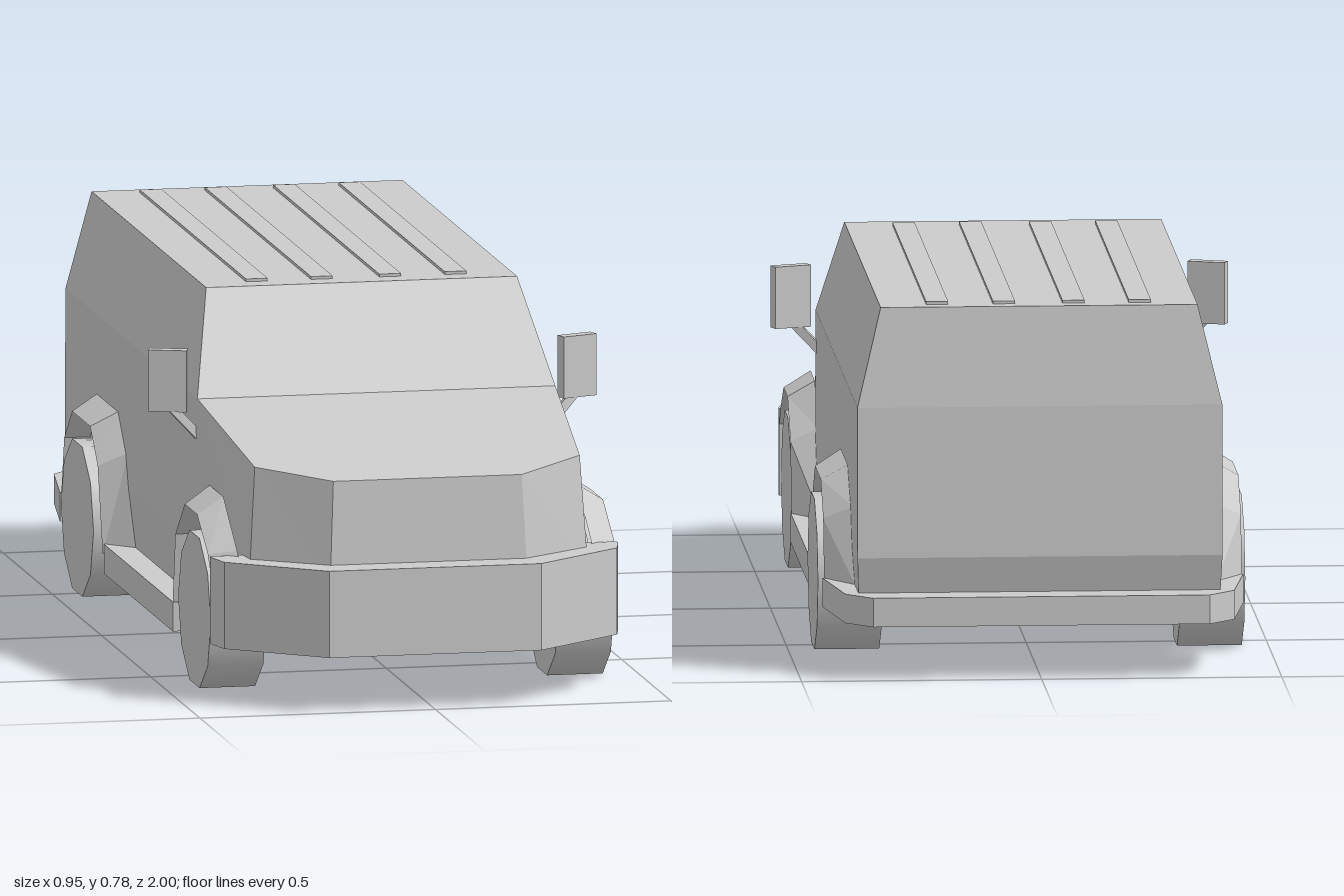
import * as THREE from 'three';

const flat = new THREE.MeshStandardMaterial({ color: 0xcccccc, flatShading: true, side: THREE.DoubleSide });
const smooth = new THREE.MeshStandardMaterial({ color: 0xcccccc });

// Mirrors a left half outline [x, y, z] (front to rear) into a closed ring
const mirrorRing = half => [...half, ...[...half].reverse().map(([x, y, z]) => [-x, y, z])];

// Skins a stack of equal-length rings; optionally closes the ring and caps the ends
function loft(rings, { closed = true, capStart = false, capEnd = false } = {}) {
  const pos = [];
  const tri = (a, b, c) => pos.push(...a, ...b, ...c);
  for (let i = 0; i + 1 < rings.length; i++) {
    const p = rings[i], q = rings[i + 1], n = p.length;
    for (let j = 0; j < (closed ? n : n - 1); j++) {
      const k = (j + 1) % n;
      tri(p[j], q[j], p[k]);
      tri(p[k], q[j], q[k]);
    }
  }
  const cap = (r, flip) => {
    for (let j = 1; j + 1 < r.length; j++) flip ? tri(r[0], r[j + 1], r[j]) : tri(r[0], r[j], r[j + 1]);
  };
  if (capStart) cap(rings[0], true);
  if (capEnd) cap(rings[rings.length - 1], false);
  const g = new THREE.BufferGeometry();
  g.setAttribute('position', new THREE.Float32BufferAttribute(pos, 3));
  g.computeVertexNormals();
  return g;
}

// Slab from a half plan outline [x, z], between two heights
function slab(half, y0, y1) {
  const pts = [...half, ...[...half].reverse().map(([x, z]) => [-x, z])];
  const shape = new THREE.Shape(pts.map(([x, z]) => new THREE.Vector2(x, z)));
  const g = new THREE.ExtrudeGeometry(shape, { depth: y1 - y0, bevelEnabled: false });
  g.rotateX(Math.PI / 2);
  g.translate(0, y1, 0);
  return g;
}

// Wheel arch flare: slopes from the body out to the lip, then turns back inside
function flare(outer, inner, side, lipX) {
  const ring = (pts, x) => pts.map(([z, y]) => [side * x, y, z]);
  return loft([ring(outer, 0.375), ring(inner, lipX), ring(inner, 0.375)], { closed: false });
}

export function createModel() {
  const model = new THREE.Group();
  const add = (name, geometry, material = flat) => {
    const mesh = new THREE.Mesh(geometry, material);
    mesh.name = name;
    model.add(mesh);
    return mesh;
  };
  const box = (w, h, d, x, y, z) => new THREE.BoxGeometry(w, h, d).translate(x, y, z);

  // Lower body with the nose and bonnet
  const belt = [[0.2, 0.475, 0.92], [0.345, 0.492, 0.815], [0.38, 0.565, 0.4], [0.38, 0.565, -0.94]];
  add('lowerBody', loft([
    mirrorRing([[0.21, 0.12, 0.935], [0.362, 0.12, 0.83], [0.375, 0.12, 0.4], [0.375, 0.12, -0.915]]),
    mirrorRing([[0.21, 0.25, 0.935], [0.36, 0.25, 0.83], [0.38, 0.25, 0.4], [0.38, 0.25, -0.948]]),
    mirrorRing(belt),
  ], { capStart: true }));
  add('bonnet', loft([mirrorRing(belt.slice(0, 3))], { capEnd: true }));

  // Cabin with raked windscreen and leaning sides
  add('cabin', loft([
    mirrorRing(belt.slice(2)),
    mirrorRing([[0.33, 0.772, 0.25], [0.33, 0.772, -0.915]]),
  ], { capEnd: true }));

  // Roof ribs
  for (const x of [-0.212, -0.074, 0.071, 0.21]) {
    add('roofRib', box(0.046, 0.012, 1.08, x, 0.772, -0.34));
  }

  // Bumpers and sill plate
  add('frontBumper', slab([[0.225, 1], [0.417, 0.85], [0.432, 0.79], [0.432, 0.775]], 0.117, 0.3));
  add('rearBumper', slab([[0.438, -0.72], [0.405, -0.94], [0.35, -1]], 0.113, 0.174));
  add('sillPlate', box(0.864, 0.062, 0.7, 0, 0.107, 0.05));

  // Arch profiles [z, y]
  const frontOuter = [[0.82, 0.28], [0.78, 0.31], [0.64, 0.4], [0.5, 0.4], [0.41, 0.315], [0.31, 0.14]];
  const frontInner = [[0.78, 0.26], [0.75, 0.3], [0.64, 0.365], [0.515, 0.365], [0.42, 0.285], [0.39, 0.118]];
  const rearOuter = [[-0.245, 0.135], [-0.325, 0.325], [-0.405, 0.4], [-0.625, 0.4], [-0.727, 0.325], [-0.815, 0.17]];
  const rearInner = [[-0.3, 0.118], [-0.35, 0.295], [-0.427, 0.365], [-0.61, 0.365], [-0.69, 0.295], [-0.72, 0.17]];

  for (const side of [1, -1]) {
    const label = side > 0 ? 'left' : 'right';
    add(label + 'FrontFlare', flare(frontOuter, frontInner, side, 0.431));
    add(label + 'RearFlare', flare(rearOuter, rearInner, side, 0.435));

    // Ten-sided wheels
    for (const [end, z, outX] of [['Front', 0.6, 0.428], ['Rear', -0.51, 0.445]]) {
      const g = new THREE.CylinderGeometry(0.166, 0.166, outX - 0.31, 10).rotateZ(Math.PI / 2);
      add(label + end + 'Wheel', g.translate(side * (outX + 0.31) / 2, 0.158, z), smooth);
    }

    // Door mirror on an angled stalk
    const mirror = add(label + 'Mirror', new THREE.BoxGeometry(0.08, 0.13, 0.026));
    mirror.position.set(side * 0.434, 0.6, 0.362);
    mirror.rotation.y = side * 0.35;
    const from = new THREE.Vector3(side * 0.365, 0.475, 0.382);
    const to = new THREE.Vector3(side * 0.43, 0.545, 0.364);
    const stalk = add(label + 'MirrorStalk', new THREE.BoxGeometry(0.018, from.distanceTo(to), 0.02));
    stalk.position.lerpVectors(from, to, 0.5);
    stalk.quaternion.setFromUnitVectors(new THREE.Vector3(0, 1, 0), to.clone().sub(from).normalize());
  }
  return model;
}
